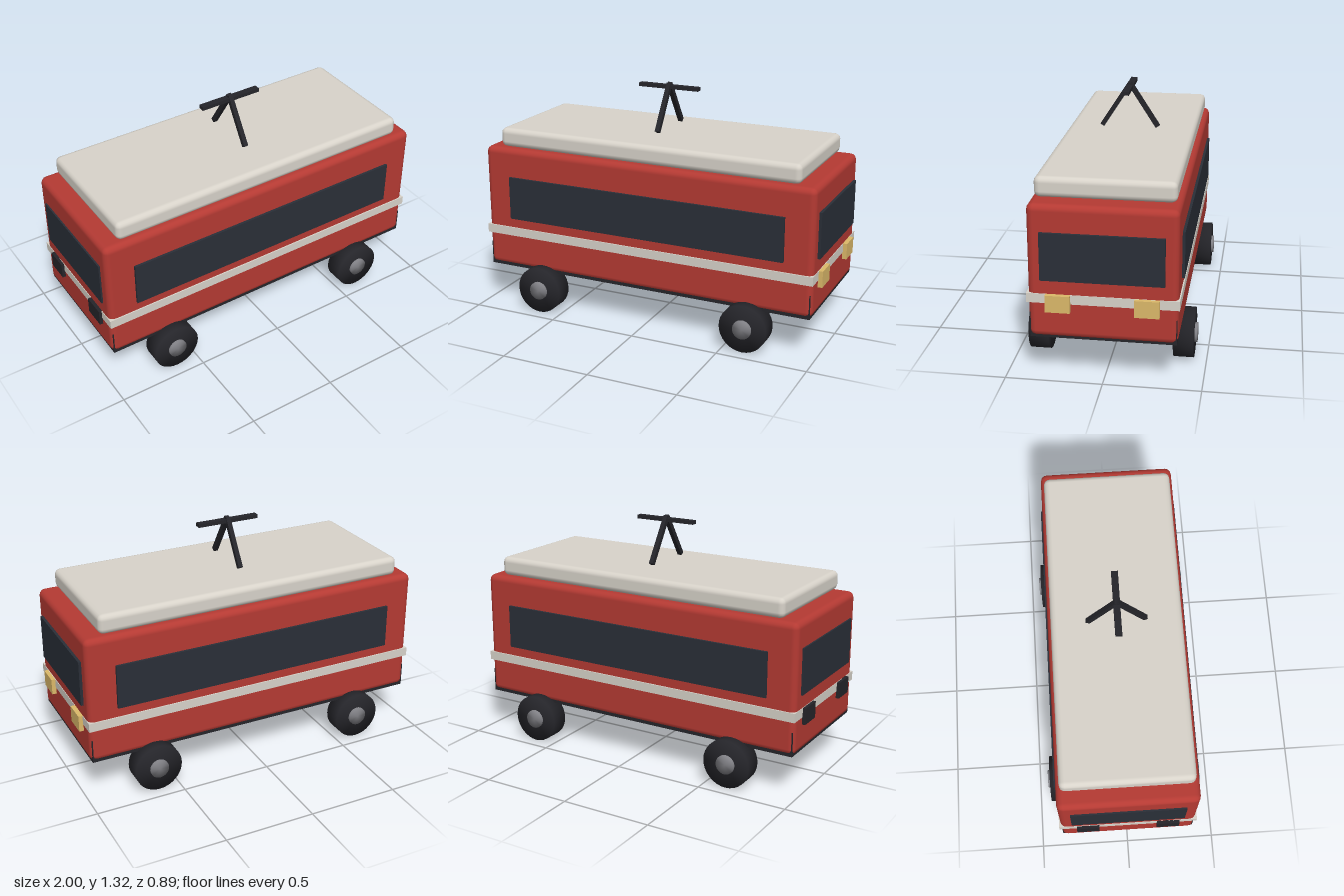
import * as THREE from 'three';
import { mergeVertices } from 'three/addons/utils/BufferGeometryUtils.js';
import { RoundedBoxGeometry } from 'three/addons/geometries/RoundedBoxGeometry.js';

const mat = (color) => new THREE.MeshStandardMaterial({ color });

export function createModel() {
  const model = new THREE.Group();
  model.name = 'tram';
  const red = mat(0xb53a33), cream = mat(0xd8d3ca), glass = mat(0x2a2f38);
  const black = mat(0x25252a), gold = mat(0xdcb96a), steel = mat(0x808085);
  const cx = -0.003; // slight lengthwise shift of the body

  const add = (name, geometry, material, x, y, z) => {
    const mesh = new THREE.Mesh(geometry, material);
    mesh.name = name;
    mesh.position.set(x, y, z);
    model.add(mesh);
    return mesh;
  };
  // Box given by its extents
  const box = (name, material, x0, x1, y0, y1, z0, z1) =>
    add(name, new THREE.BoxGeometry(x1 - x0, y1 - y0, z1 - z0), material,
      (x0 + x1) / 2, (y0 + y1) / 2, (z0 + z1) / 2);

  // Body shell, roof slab, chassis and waist stripe
  add('body', new RoundedBoxGeometry(1.956, 0.705, 0.752, 2, 0.035), red, cx, 0.5825, 0);
  add('roof', new RoundedBoxGeometry(1.776, 0.108, 0.71, 2, 0.032), cream, cx, 0.991, 0);
  box('chassis', black, cx - 0.968, cx + 0.968, 0.227, 0.36, -0.37, 0.37);
  box('waistStripe', cream, cx - 0.981, cx + 0.981, 0.42, 0.47, -0.383, 0.383);

  // Windows on both sides and both ends
  for (const s of [-1, 1]) {
    box('sideWindow', glass, cx - 0.82, cx + 0.82, 0.525, 0.77, s * 0.38 - 0.01, s * 0.38 + 0.01);
    box('endWindow', glass, s * 0.98 - 0.01, s * 0.98 + 0.01, 0.545, 0.795, -0.31, 0.31);
  }

  // Head lamps at +x, tail lamps at -x
  for (const s of [-1, 1]) {
    const z0 = s * 0.2225 - 0.0625, z1 = z0 + 0.125;
    box('headLamp', gold, 0.96, 1, 0.38, 0.47, z0, z1);
    box('tailLamp', black, -1, -0.96, 0.38, 0.47, z0, z1);
  }

  // Wheels with soft shading across their edges
  const disc = (radius, width) => {
    const g = new THREE.CylinderGeometry(radius, radius, width, 32).rotateX(Math.PI / 2);
    g.deleteAttribute('uv');
    g.deleteAttribute('normal');
    const merged = mergeVertices(g);
    merged.computeVertexNormals();
    return merged;
  };
  const tyre = disc(0.133, 0.105), hub = disc(0.052, 0.12);
  for (const x of [-0.622, 0.622]) for (const s of [-1, 1]) {
    add('wheel', tyre, black, x + cx, 0.133, s * 0.3805);
    add('hub', hub, steel, x + cx, 0.133, s * 0.387);
  }

  // Current collector: two slanted arms and a crossbar
  const foot = 0.155, low = 1.07, high = 1.31;
  for (const s of [-1, 1]) {
    const arm = add('collectorArm',
      new THREE.BoxGeometry(0.025, Math.hypot(foot, high - low), 0.025), black,
      cx, (low + high) / 2, s * foot / 2);
    arm.rotation.x = -s * Math.atan2(foot, high - low);
  }
  box('collectorBar', black, cx - 0.178, cx + 0.178, 1.283, 1.303, -0.018, 0.018);

  return model;
}
